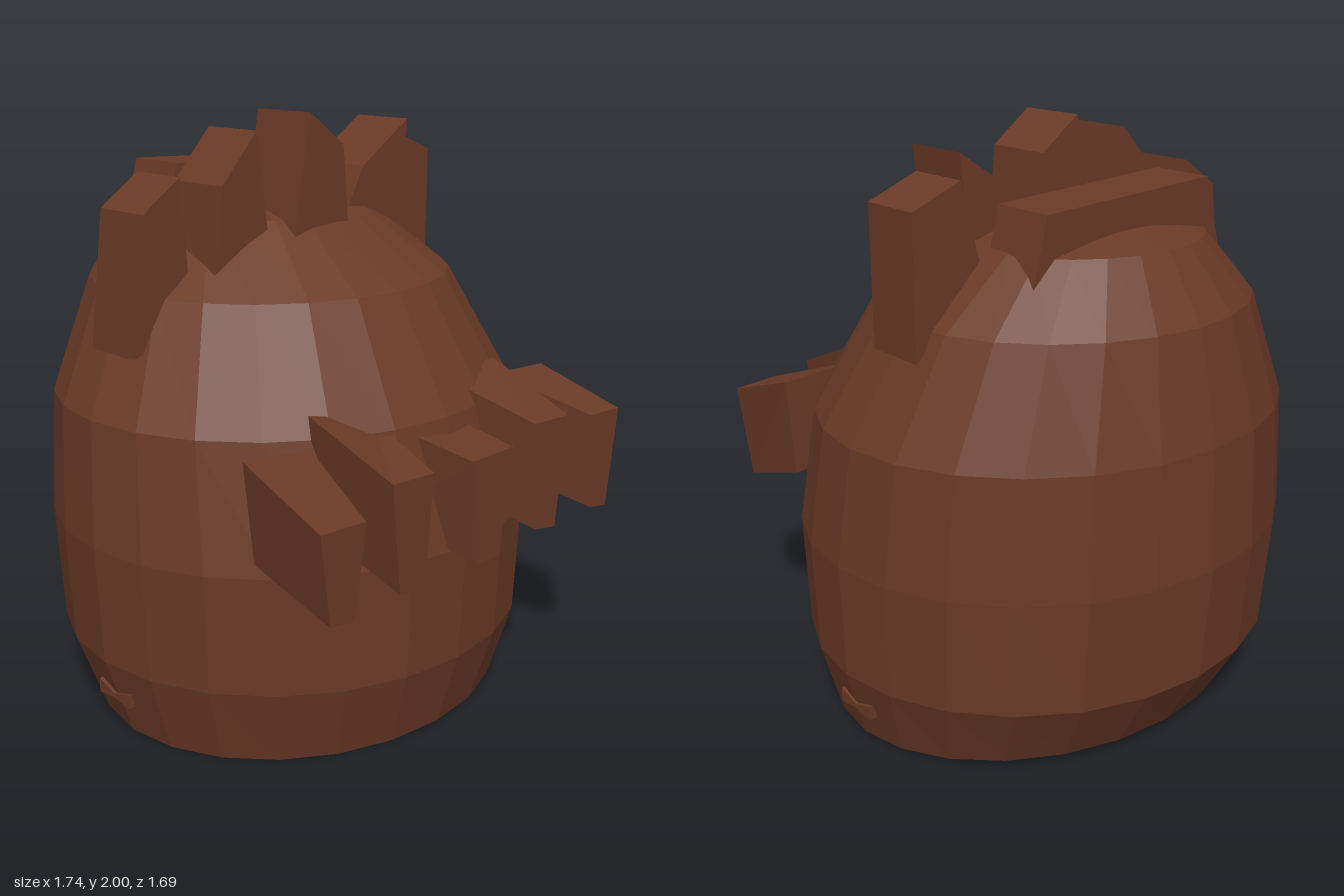
import * as THREE from 'three';

const brown = new THREE.MeshStandardMaterial({ color: 0x6b3a27, flatShading: true });
brown.name = 'brown';

// Six-sided block: each face is [topLeft, topRight, bottomLeft, bottomRight] in x, y
function block(name, front, back, zFront, zBack) {
  const geo = new THREE.BoxGeometry(2, 2, 2).toNonIndexed();
  const p = geo.attributes.position;
  for (let i = 0; i < p.count; i++) {
    const isFront = p.getZ(i) > 0;
    const corner = (p.getY(i) > 0 ? 0 : 2) + (p.getX(i) > 0 ? 1 : 0);
    const [x, y] = (isFront ? front : back)[corner];
    p.setXYZ(i, x, y, isFront ? zFront : zBack);
  }
  geo.computeVertexNormals();
  const mesh = new THREE.Mesh(geo, brown);
  mesh.name = name;
  return mesh;
}

// Barrel-shaped body from rings: [y, half width, front z, back z]
function makeBody() {
  const rings = [
    [0, 0, -0.04, -0.04],
    [0, 0.775, 0.665, -0.67],
    [0.27, 0.855, 0.745, -0.81],
    [0.67, 0.87, 0.76, -0.845],
    [1.08, 0.83, 0.665, -0.83],
    [1.45, 0.645, 0.45, -0.75],
    [1.66, 0.42, 0.15, -0.61],
    [1.77, 0, -0.23, -0.23],
  ];
  const lathe = new THREE.LatheGeometry(rings.map(r => new THREE.Vector2(1, r[0])), 24);
  const p = lathe.attributes.position;
  for (let i = 0; i < p.count; i++) {
    const ring = i % rings.length;
    const [y, w, f, b] = rings[ring];
    const z = (f + b) / 2 + p.getZ(i) * (f - b) / 2;
    // the underside rises slightly towards the back
    const lift = ring === 1 ? Math.max(0, -(z + 0.04) * 0.055) : 0;
    p.setXYZ(i, p.getX(i) * w, y + lift, z);
  }
  const geo = lathe.toNonIndexed();
  geo.computeVertexNormals();
  const mesh = new THREE.Mesh(geo, brown);
  mesh.name = 'body';
  return mesh;
}

export function createModel() {
  const model = new THREE.Group();
  model.name = 'spikedBarrel';
  model.add(makeBody());

  // Row of tapered pegs on the front, sloping down as they come forward
  const pegs = [
    [[[-0.74, 0.95], [-0.56, 0.94], [-0.70, 0.66], [-0.60, 0.645]],
      [[-0.74, 1.08], [-0.47, 1.05], [-0.70, 0.75], [-0.50, 0.72]]],
    [[[-0.45, 1.02], [-0.27, 1.01], [-0.41, 0.665], [-0.30, 0.65]],
      [[-0.48, 1.16], [-0.20, 1.09], [-0.42, 0.77], [-0.245, 0.765]]],
    [[[-0.09, 1.0], [0.11, 1.0], [-0.05, 0.65], [0.06, 0.645]],
      [[-0.155, 1.07], [0.115, 1.05], [-0.13, 0.735], [0.07, 0.69]]],
    [[[0.22, 1.05], [0.40, 1.04], [0.25, 0.68], [0.36, 0.66]],
      [[0.135, 1.16], [0.40, 1.175], [0.15, 0.79], [0.36, 0.755]]],
    [[[0.535, 1.01], [0.70, 1.0], [0.57, 0.67], [0.66, 0.655]],
      [[0.415, 1.115], [0.68, 1.10], [0.43, 0.775], [0.66, 0.755]]],
  ];
  const pegRow = new THREE.Group();
  pegRow.name = 'frontPegs';
  for (const [front, back] of pegs) pegRow.add(block('peg', front, back, 0.845, 0.53));
  model.add(pegRow);

  // Spikes standing on top: outline, front z, back z
  const spikes = [
    [[[-0.685, 1.72], [-0.54, 1.82], [-0.74, 1.28], [-0.505, 1.36]], 0.03, -0.185],
    [[[-0.44, 1.79], [-0.295, 1.95], [-0.48, 1.5], [-0.245, 1.58]], 0.11, -0.12],
    [[[-0.125, 2.0], [0.025, 1.89], [-0.195, 1.6], [0.055, 1.58]], 0.175, -0.07],
    [[[0.21, 1.8], [0.43, 1.945], [0.13, 1.65], [0.385, 1.56]], 0.09, -0.145],
    [[[0.51, 1.885], [0.69, 1.815], [0.43, 1.58], [0.69, 1.36]], -0.035, -0.25],
  ];
  const crown = new THREE.Group();
  crown.name = 'topSpikes';
  for (const [outline, zf, zb] of spikes) crown.add(block('spike', outline, outline, zf, zb));
  model.add(crown);

  // Long ridge behind the spikes
  const ridge = [[-0.335, 1.825], [0.36, 1.795], [-0.405, 1.58], [0.415, 1.58]];
  model.add(block('rearRidge', ridge, ridge, -0.24, -0.46));

  // Small bow-shaped nubs low on both sides
  const bow = new THREE.Shape([[0.05, 0.17], [-0.03, 0.145], [-0.11, 0.17], [-0.11, 0.12], [-0.03, 0.13], [0.05, 0.12]]
    .map(([z, y]) => new THREE.Vector2(-z, y)));
  const bowGeo = new THREE.ExtrudeGeometry(bow, { depth: 0.03, bevelEnabled: false });
  for (const side of [1, -1]) {
    const nub = new THREE.Mesh(bowGeo, brown);
    nub.name = side > 0 ? 'leftNub' : 'rightNub';
    nub.rotation.y = side * Math.PI / 2;
    nub.position.set(side * 0.797, 0, side > 0 ? 0 : -0.06);
    model.add(nub);
  }
  return model;
}
